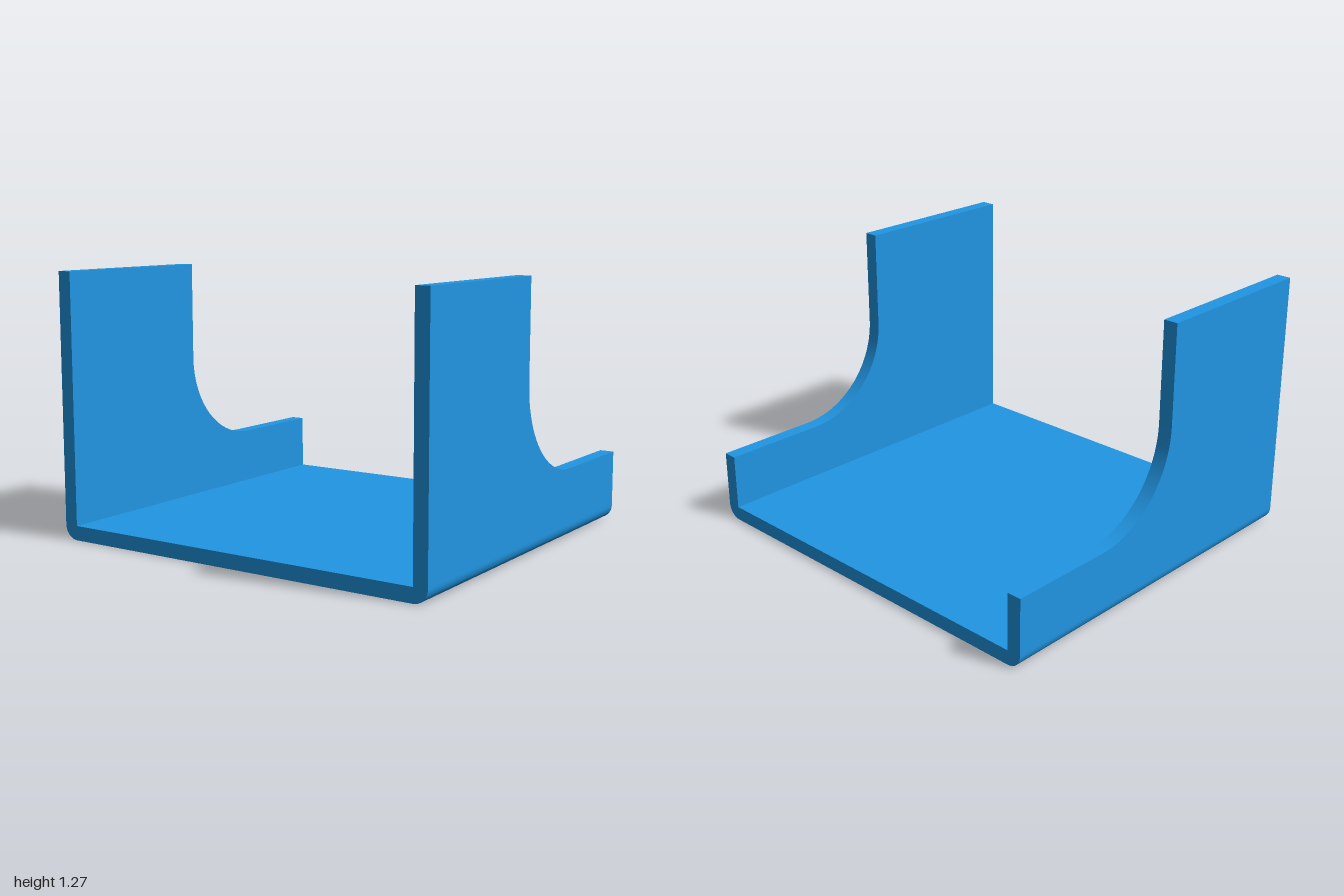
import * as THREE from 'three';
import { toCreasedNormals } from 'three/addons/utils/BufferGeometryUtils.js';

const HALF_DEPTH = 0.92, THICK = 0.07, SEAM = 0.1;
const HIGH = 1.275, LOW = 0.345, STEP = 0.05, FILLET = 0.45;

function extrude(shape, depth) {
  const geo = new THREE.ExtrudeGeometry(shape, { depth, bevelEnabled: false, curveSegments: 24 });
  return toCreasedNormals(geo, Math.PI / 6);
}

// Shallow tray section: flat floor, short upstands, rounded outer corners
function traySection() {
  const s = new THREE.Shape();
  const r = THICK, inner = 1 - THICK;
  s.moveTo(-1 + r, 0);
  s.lineTo(1 - r, 0);
  s.absarc(1 - r, r, r, -Math.PI / 2, 0, false);
  s.lineTo(1, SEAM);
  s.lineTo(inner, SEAM);
  s.lineTo(inner, THICK);
  s.lineTo(-inner, THICK);
  s.lineTo(-inner, SEAM);
  s.lineTo(-1, SEAM);
  s.lineTo(-1, r);
  s.absarc(-1 + r, r, r, Math.PI, Math.PI * 1.5, false);
  return s;
}

// Side wall outline, drawn with u = -z: tall at the front, concave sweep to a low rear
function wallOutline() {
  const s = new THREE.Shape();
  s.moveTo(-HALF_DEPTH, SEAM);
  s.lineTo(HALF_DEPTH, SEAM);
  s.lineTo(HALF_DEPTH, LOW);
  s.lineTo(-STEP + FILLET, LOW);
  s.absarc(-STEP + FILLET, LOW + FILLET, FILLET, Math.PI * 1.5, Math.PI, true);
  s.lineTo(-STEP, HIGH);
  s.lineTo(-HALF_DEPTH, HIGH);
  s.closePath();
  return s;
}

export function createModel() {
  const model = new THREE.Group();
  model.name = 'bracket';
  const material = new THREE.MeshStandardMaterial({ color: 0x2196e3 });

  // Floor with its folded corners
  const floor = new THREE.Mesh(extrude(traySection(), HALF_DEPTH * 2), material);
  floor.name = 'floor';
  floor.position.z = -HALF_DEPTH;
  model.add(floor);

  // Two stepped side walls
  const wallGeo = extrude(wallOutline(), THICK).rotateY(Math.PI / 2);
  for (const [name, x] of [['leftWall', 1 - THICK], ['rightWall', -1]]) {
    const wall = new THREE.Mesh(wallGeo, material);
    wall.name = name;
    wall.position.x = x;
    model.add(wall);
  }
  return model;
}
